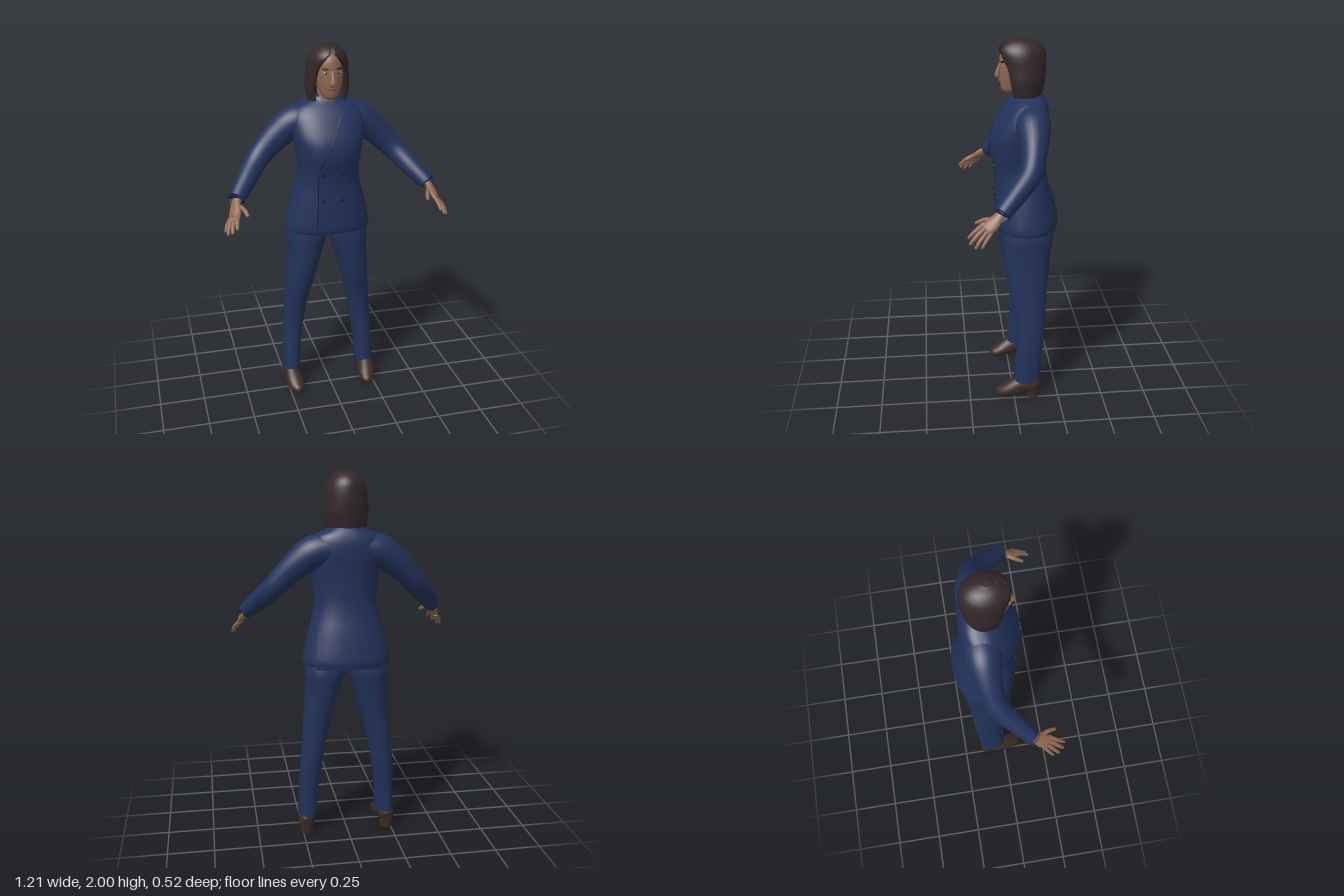
import * as THREE from 'three';

const V = (x, y, z) => new THREE.Vector3(x, y, z);
const mat = (name, color, side = THREE.FrontSide) => {
  const m = new THREE.MeshStandardMaterial({ color, side });
  m.name = name;
  return m;
};

// Catmull-Rom through rows of numbers
function smooth(keys, n = 5) {
  const out = [], at = i => keys[Math.min(Math.max(i, 0), keys.length - 1)];
  for (let i = 0; i < keys.length - 1; i++) {
    for (let k = 0; k < n; k++) {
      const t = k / n, t2 = t * t, t3 = t2 * t;
      out.push(at(i).map((b, c) => {
        const a = at(i - 1)[c], d = at(i + 1)[c], e = at(i + 2)[c];
        return 0.5 * (2 * b + (d - a) * t + (2 * a - 5 * b + 4 * d - e) * t2 + (3 * b - a - 3 * d + e) * t3);
      }));
    }
  }
  out.push(at(keys.length - 1));
  return out;
}

// Skin closed rings of points, with flat caps at both ends
function loft(rings) {
  const n = rings[0].length, pos = [], idx = [];
  rings.forEach(r => r.forEach(p => pos.push(p.x, p.y, p.z)));
  for (let i = 0; i < rings.length - 1; i++) {
    for (let j = 0; j < n; j++) {
      const a = i * n + j, b = i * n + (j + 1) % n;
      idx.push(a, b, b + n, a, b + n, a + n);
    }
  }
  [rings[0], rings[rings.length - 1]].forEach((r, end) => {
    const s = pos.length / 3, c = V(0, 0, 0);
    r.forEach(p => { pos.push(p.x, p.y, p.z); c.addScaledVector(p, 1 / n); });
    pos.push(c.x, c.y, c.z);
    for (let j = 0; j < n; j++) {
      const a = s + j, b = s + (j + 1) % n;
      if (end) idx.push(s + n, a, b); else idx.push(s + n, b, a);
    }
  });
  const g = new THREE.BufferGeometry();
  g.setAttribute('position', new THREE.Float32BufferAttribute(pos, 3));
  g.setIndex(idx);
  g.computeVertexNormals();
  return g;
}

// Upright form; rows are y, centre x, half width, front z, back z
function stack(rows, e = 2, seg = 36) {
  const sp = v => Math.sign(v) * Math.abs(v) ** (2 / e);
  return loft(rows.map(([y, cx, w, zf, zb]) => Array.from({ length: seg }, (_, j) => {
    const a = j / seg * Math.PI * 2;
    return V(cx + w * sp(Math.cos(a)), y, (zf + zb) / 2 - (zf - zb) / 2 * sp(Math.sin(a)));
  })));
}

// Form along a path; rows are x, y, z, half width along ref, half thickness
function limb(keys, ref, seg = 20, n = 5, floor = -1) {
  const rows = smooth(keys, n), c = rows.map(r => V(r[0], r[1], r[2]));
  return loft(rows.map((r, i) => {
    const t = c[Math.min(i + 1, c.length - 1)].clone().sub(c[Math.max(i - 1, 0)]).normalize();
    const u = ref.clone().addScaledVector(t, -ref.dot(t)).normalize();
    const v = t.clone().cross(u);
    return Array.from({ length: seg }, (_, j) => {
      const a = j / seg * Math.PI * 2;
      const p = c[i].clone().addScaledVector(u, r[3] * Math.cos(a)).addScaledVector(v, r[4] * Math.sin(a));
      p.y = Math.max(p.y, floor);
      return p;
    });
  }));
}

const BODY_E = 2.3;
const body = smooth([
  [0.985, 0, 0.232, 0.078, -0.235], [1.02, 0, 0.235, 0.086, -0.243], [1.15, 0, 0.205, 0.085, -0.222],
  [1.25, 0, 0.177, 0.083, -0.2], [1.33, 0, 0.166, 0.092, -0.19], [1.42, 0, 0.175, 0.109, -0.19],
  [1.5, 0, 0.19, 0.1, -0.195], [1.57, 0, 0.2, 0.068, -0.2], [1.63, 0, 0.195, 0.032, -0.198],
  [1.67, 0, 0.165, 0, -0.188], [1.7, 0, 0.105, -0.028, -0.172], [1.72, 0, 0.07, -0.035, -0.155]]);

// Depth of the jacket surface at x, y on the front (1) or back (-1)
function bodyZ(x, y, side = 1) {
  let i = 0;
  while (i < body.length - 2 && body[i + 1][0] < y) i++;
  const f = THREE.MathUtils.clamp((y - body[i][0]) / (body[i + 1][0] - body[i][0]), 0, 1);
  const [, , w, zf, zb] = body[i].map((v, k) => v + (body[i + 1][k] - v) * f);
  const k = Math.max(0, 1 - Math.min(1, Math.abs(x / w)) ** BODY_E) ** (1 / BODY_E);
  return (zf + zb) / 2 + side * (zf - zb) / 2 * k;
}

// Cloth panel between two edges, laid just over the jacket
function panel(edgeA, edgeB, off, side = 1, n = 14) {
  const g = new THREE.PlaneGeometry(1, 1, n, n), p = g.attributes.position;
  const at = (e, t) => {
    const f = t * (e.length - 1), i = Math.min(Math.floor(f), e.length - 2);
    return [0, 1].map(k => e[i][k] + (e[i + 1][k] - e[i][k]) * (f - i));
  };
  for (let i = 0; i < p.count; i++) {
    const s = p.getX(i) + 0.5, t = 0.5 - p.getY(i), a = at(edgeA, t), b = at(edgeB, t);
    const x = a[0] + (b[0] - a[0]) * s, y = a[1] + (b[1] - a[1]) * s;
    p.setXYZ(i, x, y, bodyZ(x, y, side) + side * off);
  }
  g.computeVertexNormals();
  return g;
}

const seam = (pts, r = 0.003) => new THREE.TubeGeometry(new THREE.CatmullRomCurve3(
  pts.map(([x, y]) => V(x, y, bodyZ(x, y) + 0.004))), 24, r, 6);

export function createModel() {
  const root = new THREE.Group();
  const suit = mat('navy suit', 0x22325a), cloth = mat('navy panels', 0x22325a, THREE.DoubleSide);
  const trim = mat('dark navy trim', 0x17223f), skin = mat('skin', 0x8f6852), hairMat = mat('dark brown hair', 0x33272a);
  const shoeMat = mat('brown shoe leather', 0x3c2a27), dark = mat('brow and iris', 0x1c1414);
  const white = mat('eye white', 0xa89c92), lipMat = mat('lips', 0x7a4e42);
  const add = (name, geo, m, x = 0, y = 0, z = 0) => {
    const o = new THREE.Mesh(geo, m);
    o.name = name;
    o.position.set(x, y, z);
    root.add(o);
    return o;
  };
  const blob = (name, m, p, s) => {
    const o = add(name, new THREE.SphereGeometry(1, 16, 10), m, ...p);
    o.scale.set(...s);
    return o;
  };

  // Jacket with overlapping front, lapels and rear vent flap
  add('jacket', stack(body, BODY_E, 48), suit);
  add('rearFlap', panel([[-0.165, 1.17], [-0.18, 0.975]], [[0.165, 1.17], [0.18, 0.975]], 0.014, -1), cloth);
  add('rightLapel', panel([[-0.07, 1.69], [-0.12, 1.58], [-0.085, 1.36]], [[-0.055, 1.69], [-0.025, 1.58], [-0.08, 1.35]], 0.006), cloth);
  add('leftLapel', panel([[0.055, 1.69], [0.03, 1.57], [-0.085, 1.34]], [[0.075, 1.69], [0.12, 1.58], [-0.06, 1.34]], 0.009), cloth);
  add('frontEdge', seam([[0.06, 1.68], [0.025, 1.57], [-0.05, 1.43], [-0.08, 1.33], [-0.085, 1.15], [-0.09, 0.99]]), trim);
  for (const y of [1.33, 1.18]) for (const x of [-0.058, 0.048]) {
    const b = add('button', new THREE.CylinderGeometry(0.011, 0.011, 0.008, 14), trim, x, y, bodyZ(x, y) + 0.003);
    b.rotation.x = Math.PI / 2;
  }

  // Shirt collar and tie
  const collar = add('collarBand', new THREE.CylinderGeometry(0.06, 0.072, 0.05, 28, 1, true), cloth, 0, 1.71, -0.092);
  collar.scale.z = 0.95;
  add('tie', panel([[-0.014, 1.7], [-0.02, 1.665], [-0.012, 1.65], [-0.022, 1.55]], [[0.014, 1.7], [0.02, 1.665], [0.012, 1.65], [0.01, 1.55]], 0.007), cloth);

  // Head, neck and face
  add('neck', new THREE.CylinderGeometry(0.048, 0.055, 0.12, 24), skin, 0, 1.735, -0.075);
  add('head', stack(smooth([
    [1.718, 0, 0.022, 0.03, -0.03], [1.735, 0, 0.042, 0.046, -0.06], [1.775, 0, 0.06, 0.054, -0.11],
    [1.82, 0, 0.072, 0.056, -0.13], [1.87, 0, 0.077, 0.056, -0.14], [1.92, 0, 0.073, 0.05, -0.14],
    [1.955, 0, 0.055, 0.025, -0.12], [1.975, 0, 0.02, -0.02, -0.07]])), skin);
  add('nose', limb([[0, 1.795, 0.058, 0.012, 0.008], [0, 1.807, 0.068, 0.016, 0.013],
    [0, 1.835, 0.063, 0.011, 0.01], [0, 1.872, 0.05, 0.008, 0.007]], V(1, 0, 0), 14), skin);
  blob('upperLip', lipMat, [0, 1.783, 0.053], [0.023, 0.005, 0.009]);
  blob('lowerLip', lipMat, [0, 1.775, 0.052], [0.02, 0.005, 0.009]);

  // Bobbed hair: C-shaped shell open at the face; rows are y, half width, front, back, opening angle
  add('hair', loft(smooth([
    [1.705, 0.106, 0.03, -0.165, 0.92], [1.78, 0.117, 0.04, -0.18, 0.82], [1.85, 0.113, 0.05, -0.186, 0.74],
    [1.9, 0.108, 0.06, -0.185, 0.56], [1.935, 0.098, 0.062, -0.178, 0.32], [1.962, 0.08, 0.048, -0.16, 0.08],
    [1.986, 0.052, 0.014, -0.125, 0.02], [2, 0.014, -0.035, -0.075, 0.02]]).map(([y, w, zf, zb, gap]) =>
    Array.from({ length: 64 }, (_, j) => {
      const outer = j < 32, k = outer ? j / 31 : (63 - j) / 31, s = outer ? 1 : 0.86;
      const a = gap + k * (Math.PI * 2 - 2 * gap);
      return V(w * s * Math.sin(a), y, (zf + zb) / 2 + s * (zf - zb) / 2 * Math.cos(a));
    }))), hairMat);

  for (const s of [1, -1]) {
    const side = s > 0 ? 'left' : 'right';
    const mir = keys => keys.map(([x, ...r]) => [s * x, ...r]);

    blob(side + 'Eye', white, [s * 0.033, 1.861, 0.043], [0.015, 0.006, 0.006]);
    blob(side + 'Iris', dark, [s * 0.032, 1.861, 0.046], [0.006, 0.006, 0.005]);
    const brow = blob(side + 'Brow', dark, [s * 0.034, 1.881, 0.043], [0.021, 0.005, 0.006]);
    brow.rotation.set(0, s * 0.35, s * 0.1);
    add(side + 'CollarPoint', panel([[s * 0.012, 1.7], [s * 0.03, 1.635]], [[s * 0.058, 1.71], [s * 0.034, 1.635]], 0.012), cloth);

    // Sleeve
    add(side + 'Sleeve', limb(mir([
      [0.1, 1.6, -0.1, 0.09, 0.085], [0.18, 1.58, -0.1, 0.09, 0.088], [0.26, 1.522, -0.096, 0.075, 0.078],
      [0.34, 1.445, -0.082, 0.06, 0.066], [0.395, 1.385, -0.055, 0.057, 0.06], [0.46, 1.312, 0.018, 0.05, 0.053],
      [0.515, 1.252, 0.083, 0.042, 0.045], [0.521, 1.246, 0.09, 0.04, 0.043]]), V(0, 0, 1), 28), suit);

    // Hand: palm, four fingers and thumb
    const spread = V(s * 0.055, -0.035, -0.06).normalize();
    add(side + 'Palm', limb(mir([
      [0.508, 1.262, 0.075, 0.026, 0.021], [0.526, 1.235, 0.105, 0.027, 0.019], [0.538, 1.205, 0.138, 0.037, 0.018],
      [0.545, 1.185, 0.165, 0.036, 0.014], [0.548, 1.178, 0.174, 0.026, 0.009]]), spread, 20), skin);
    [[[0.523, 1.203, 0.178], [0.54, 1.172, 0.222], [0.546, 1.138, 0.257]],
      [[0.538, 1.187, 0.174], [0.562, 1.15, 0.22], [0.57, 1.115, 0.25]],
      [[0.551, 1.176, 0.16], [0.579, 1.138, 0.2], [0.59, 1.1, 0.225]],
      [[0.56, 1.17, 0.143], [0.588, 1.138, 0.173], [0.599, 1.105, 0.194]],
      [[0.523, 1.222, 0.125], [0.497, 1.212, 0.172], [0.483, 1.19, 0.218]]].forEach((p, i) => {
      const r = [0.0105, 0.011, 0.0105, 0.009, 0.012][i];
      const keys = [[...p[0], r * 1.1, r * 1.1], [...p[1], r, r],
        [...p[2].map((v, k) => v - (v - p[1][k]) * 0.12), r * 0.75, r * 0.75], [...p[2], r * 0.3, r * 0.3]];
      add(side + (i < 4 ? 'Finger' : 'Thumb'), limb(mir(keys), spread, 10, 4), skin);
    });

    // Trouser leg
    add(side + 'TrouserLeg', stack(smooth([
      [0.1, 0.22, 0.051, 0.002, -0.15], [0.25, 0.214, 0.053, -0.012, -0.155], [0.4, 0.2, 0.06, -0.018, -0.172],
      [0.55, 0.18, 0.066, 0, -0.18], [0.7, 0.155, 0.08, 0.033, -0.19], [0.85, 0.129, 0.096, 0.05, -0.208],
      [0.95, 0.115, 0.111, 0.055, -0.22], [1.08, 0.1, 0.1, 0.045, -0.19]]).map(([y, cx, ...r]) => [y, s * cx, ...r]), 2.2), suit);

    // Shoe with a low heel
    add(side + 'Shoe', limb(mir([
      [0.228, 0.07, -0.146, 0.02, 0.025], [0.228, 0.075, -0.12, 0.042, 0.052], [0.226, 0.078, -0.06, 0.045, 0.058],
      [0.221, 0.055, 0, 0.049, 0.05], [0.213, 0.036, 0.05, 0.046, 0.037], [0.205, 0.025, 0.085, 0.031, 0.025],
      [0.201, 0.02, 0.1, 0.012, 0.012]]), V(1, 0, 0), 24, 5, 0.002), shoeMat);
    add(side + 'Heel', new THREE.CylinderGeometry(0.039, 0.035, 0.05, 20), shoeMat, s * 0.228, 0.025, -0.106);
  }

  return root;
}
